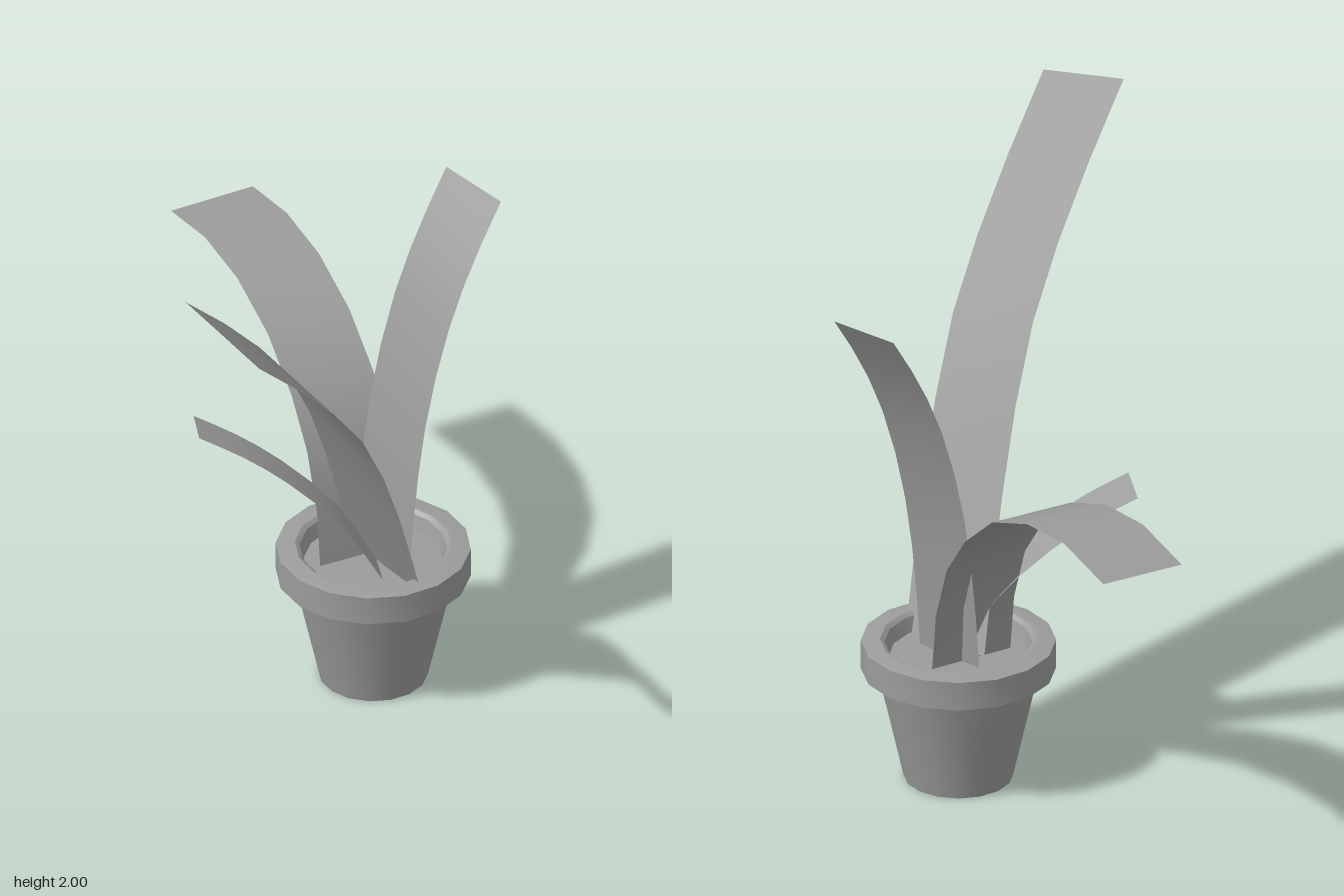
import * as THREE from 'three';
import { toCreasedNormals } from 'three/addons/utils/BufferGeometryUtils.js';

const POT_X = 0.225, POT_Z = -0.33;

const material = new THREE.MeshStandardMaterial({ color: 0x9c9c9c });
const leafMaterial = new THREE.MeshStandardMaterial({ color: 0x9c9c9c, side: THREE.DoubleSide });

// A thin strip of constant width that follows a centre line; half is the vector from centre to edge.
function makeLeaf(name, points, half, segments = 8) {
  const curve = new THREE.CatmullRomCurve3(points.map(p => new THREE.Vector3(...p)));
  const side = new THREE.Vector3(...half);
  const positions = [], index = [];
  for (let i = 0; i <= segments; i++) {
    const centre = curve.getPoint(i / segments);
    positions.push(...centre.clone().sub(side).toArray(), ...centre.clone().add(side).toArray());
    if (i < segments) {
      const k = i * 2;
      index.push(k, k + 1, k + 2, k + 1, k + 3, k + 2);
    }
  }
  const geometry = new THREE.BufferGeometry();
  geometry.setAttribute('position', new THREE.Float32BufferAttribute(positions, 3));
  geometry.setIndex(index);
  geometry.computeVertexNormals();
  const mesh = new THREE.Mesh(geometry, leafMaterial);
  mesh.name = name;
  return mesh;
}

export function createModel() {
  const plant = new THREE.Group();
  plant.name = 'pottedPlant';

  // Pot: tapered body, chamfered rim and inner wall
  const profile = [
    [0, 0], [0.175, 0], [0.255, 0.355], [0.312, 0.38], [0.312, 0.478],
    [0.268, 0.485], [0.25, 0.485], [0.236, 0.474], [0.215, 0.4],
  ].map(p => new THREE.Vector2(...p));
  const pot = new THREE.Mesh(toCreasedNormals(new THREE.LatheGeometry(profile, 16), 0.6), material);
  pot.name = 'pot';
  pot.position.set(POT_X, 0, POT_Z);
  plant.add(pot);

  // Soil disc inside the rim
  const soil = new THREE.Mesh(new THREE.CircleGeometry(0.222, 16), material);
  soil.name = 'soil';
  soil.rotation.x = -Math.PI / 2;
  soil.position.set(POT_X, 0.425, POT_Z);
  plant.add(soil);

  // Leaves, each arching its own way
  plant.add(
    makeLeaf('tallFrontLeaf', [
      [0.283, 0.42, -0.335], [0.335, 0.61, -0.25], [0.405, 0.87, -0.13], [0.473, 1.12, 0],
      [0.536, 1.352, 0.145], [0.591, 1.555, 0.315], [0.645, 1.755, 0.51], [0.70, 1.955, 0.725],
    ], [0.176, -0.043, -0.003], 7),
    makeLeaf('droopingSideLeaf', [
      [0.178, 0.42, -0.32], [0.156, 0.62, -0.325], [0.092, 0.81, -0.34], [-0.018, 0.96, -0.37],
      [-0.18, 1.10, -0.41], [-0.39, 1.185, -0.465], [-0.61, 1.21, -0.52], [-0.845, 1.17, -0.582],
    ], [0.035, 0.003, -0.1425], 7),
    makeLeaf('shortFrontLeaf', [
      [0.275, 0.42, -0.315], [0.2, 0.63, -0.21], [0.085, 0.8, -0.075],
      [-0.005, 0.9, 0.035], [-0.095, 0.973, 0.14],
    ], [0.065, 0.008, 0.045]),
    makeLeaf('uprightBackLeaf', [
      [0.24, 0.42, -0.355], [0.244, 0.72, -0.378], [0.25, 1.0, -0.42],
      [0.254, 1.28, -0.5], [0.258, 1.5, -0.6], [0.26, 1.70, -0.725],
    ], [0.129, -0.005, -0.003]),
  );

  return plant;
}
